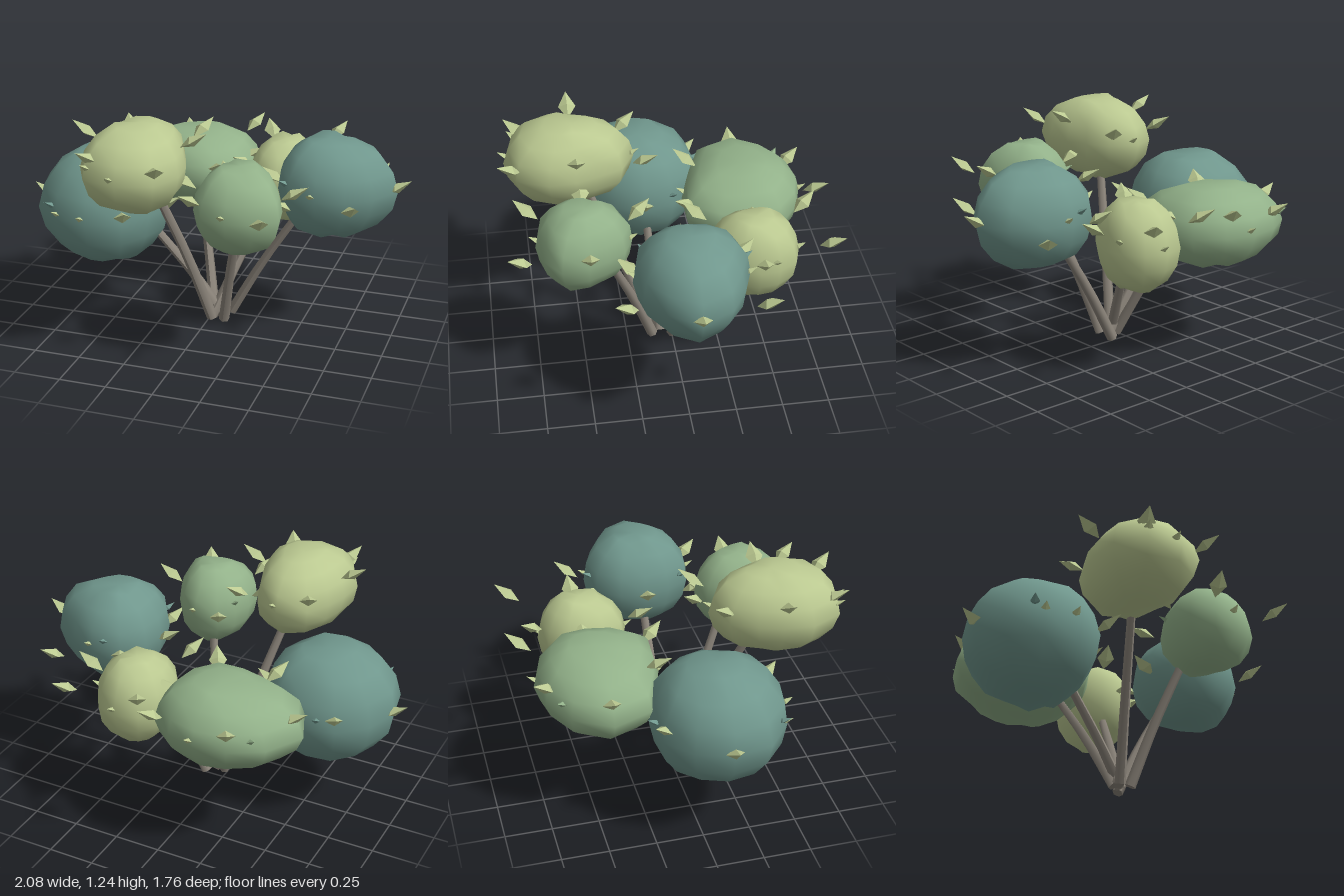
import * as THREE from 'three';
import { mergeVertices } from 'three/addons/utils/BufferGeometryUtils.js';

const UP = new THREE.Vector3(0, 1, 0);

// Foliage clumps: crown centre, height range, plan radius every 30 degrees
// (from +x towards +z), height of the leaf ring, azimuths of the buds
const CLUMPS = [
  { name: 'rightClump', color: 'teal', x: -0.56, z: 0.10, y: [0.32, 0.945],
    radii: [.33, .32, .36, .38, .38, .40, .385, .37, .36, .34, .345, .33], leafY: 0.66, buds: [128, 256, 330] },
  { name: 'leftClump', color: 'teal', x: 0.62, z: -0.02, y: [0.56, 1.09],
    radii: [.375, .32, .30, .295, .30, .27, .255, .28, .30, .30, .29, .33], leafY: 0.82, buds: [130, 258] },
  { name: 'frontRightClump', color: 'lime', x: -0.23, z: 0.49, y: [0.80, 1.25],
    radii: [.24, .29, .36, .37, .37, .31, .255, .25, .295, .33, .29, .23], leafY: 1.14, buds: [119] },
  { name: 'frontLeftClump', color: 'green', x: 0.29, z: 0.475, y: [0.62, 1.07],
    radii: [.22, .28, .26, .26, .27, .24, .215, .21, .235, .24, .22, .20], leafY: 0.94, buds: [210] },
  { name: 'backRightClump', color: 'green', x: -0.215, z: -0.435, y: [0.50, 0.925],
    radii: [.34, .36, .39, .335, .33, .42, .45, .39, .34, .325, .32, .345], leafY: 0.83, buds: [220] },
  { name: 'backLeftClump', color: 'lime', x: 0.29, z: -0.41, y: [0.45, 0.93],
    radii: [.20, .20, .22, .25, .245, .22, .21, .22, .235, .24, .235, .21], leafY: 0.85, buds: [335] },
];

// Stems: foot on the ground (x, z) and tip inside a clump (x, y, z)
const STEMS = [
  { foot: [0.07, 0.06], tip: [-0.30, 0.48, 0.085] },
  { foot: [0.10, 0.00], tip: [0.48, 0.66, -0.01] },
  { foot: [0.02, 0.11], tip: [-0.18, 0.86, 0.43] },
  { foot: [0.09, 0.11], tip: [0.24, 0.68, 0.36] },
  { foot: [0.02, 0.06], tip: [-0.15, 0.60, -0.24] },
  { foot: [0.02, 0.10], tip: [0.23, 0.58, -0.28] },
];

// Distance of the six ring leaves from the crown centre, every 60 degrees
const LEAF_REACH = [0.28, 0.40, 0.34, 0.30, 0.34, 0.42];

const paint = (name, color) => {
  const m = new THREE.MeshStandardMaterial({ color });
  m.name = name;
  return m;
};

// Plan radius of a clump at an azimuth in degrees
function radiusAt(radii, degrees) {
  const t = (degrees + 360) / 30, i = Math.floor(t);
  return THREE.MathUtils.lerp(radii[i % 12], radii[(i + 1) % 12], t - i);
}

// Rounded lump with an irregular plan outline and pinched poles
function clumpGeometry({ radii, y }, seed) {
  let geo = new THREE.SphereGeometry(1, 12, 8);
  geo.deleteAttribute('uv');
  geo.deleteAttribute('normal');
  geo = mergeVertices(geo, 1e-4);
  const p = geo.attributes.position;
  const half = (y[1] - y[0]) / 2;
  let s = seed * 7919 + 17;
  const jitter = (amount) => {
    s = (s * 16807) % 2147483647;
    return 1 + (s / 2147483647 - 0.5) * amount;
  };
  for (let i = 0; i < p.count; i++) {
    const x = p.getX(i), v = p.getY(i), z = p.getZ(i);
    const ring = Math.hypot(x, z);
    if (ring < 1e-3) {
      p.setXYZ(i, 0, Math.sign(v) * half * 0.96, 0);
      continue;
    }
    const degrees = THREE.MathUtils.radToDeg(Math.atan2(z, x));
    const equator = Math.abs(v) < 0.01;
    const reach = radiusAt(radii, degrees) * ring ** 0.92 * (equator ? 1 : jitter(0.05));
    const lift = Math.min(1, Math.abs(v) * 1.03 * jitter(Math.abs(v) > 0.9 ? 0.1 : 0.05));
    p.setXYZ(i, x / ring * reach, Math.sign(v) * lift * half, z / ring * reach);
  }
  geo.computeVertexNormals();
  return geo;
}

// Six-sided tapered stem, steeper near the ground
function stemGeometry({ foot, tip }) {
  const start = new THREE.Vector3(foot[0], 0.02, foot[1]);
  const end = new THREE.Vector3(...tip);
  const bend = start.clone().lerp(end, 0.46).setY((start.y + end.y) / 2);
  const curve = new THREE.CatmullRomCurve3([start, bend, end]);
  const geo = new THREE.CylinderGeometry(0.022, 0.03, 1, 6, 5);
  const p = geo.attributes.position;
  const turn = new THREE.Quaternion(), v = new THREE.Vector3();
  for (let i = 0; i < p.count; i++) {
    const t = THREE.MathUtils.clamp(p.getY(i) + 0.5, 0, 1);
    turn.setFromUnitVectors(UP, curve.getTangent(t));
    v.set(p.getX(i), 0, p.getZ(i)).applyQuaternion(turn).add(curve.getPoint(t));
    p.setXYZ(i, v.x, v.y, v.z);
  }
  geo.computeVertexNormals();
  return geo;
}

// Flat faceted leaf along +y, broad in x and widest just below the middle
function leafGeometry() {
  const geo = new THREE.OctahedronGeometry(0.5);
  const p = geo.attributes.position;
  for (let i = 0; i < p.count; i++) {
    const y = p.getY(i);
    p.setXYZ(i, p.getX(i) * 0.58, Math.abs(y) < 0.01 ? -0.06 : y, p.getZ(i) * 0.34);
  }
  geo.computeVertexNormals();
  return geo;
}

export function createModel() {
  const mats = {
    teal: paint('teal foliage', 0x70978d),
    green: paint('green foliage', 0x93b28a),
    lime: paint('lime foliage', 0xbbc991),
    bark: paint('bark', 0x8a8379),
  };
  const model = new THREE.Group();
  model.name = 'shrub';
  const add = (geo, mat, name) => {
    const mesh = new THREE.Mesh(geo, mat);
    mesh.name = name;
    model.add(mesh);
    return mesh;
  };

  STEMS.forEach((stem, i) => add(stemGeometry(stem), mats.bark, `stem${i + 1}`));

  const leaf = leafGeometry();
  CLUMPS.forEach((clump, i) => {
    const { x, z, y, radii, leafY, color, buds } = clump;
    const middle = (y[0] + y[1]) / 2, half = (y[1] - y[0]) / 2;
    add(clumpGeometry(clump, i + 1), mats[color], clump.name).position.set(x, middle, z);

    // Distance from the crown axis to the foliage surface
    const surface = (degrees, height) =>
      radiusAt(radii, degrees) * Math.sqrt(1 - ((height - middle) / half) ** 2);

    // Leaves and buds lean outwards and upwards, broad side facing up
    const addLeaf = (degrees, reach, height, size, mat, name) => {
      const a = THREE.MathUtils.degToRad(degrees);
      const mesh = add(leaf, mat, name);
      mesh.position.set(x + Math.cos(a) * reach, height, z + Math.sin(a) * reach);
      const side = new THREE.Vector3(-Math.sin(a), 0, Math.cos(a));
      const out = new THREE.Vector3(Math.cos(a), 0.6, Math.sin(a)).normalize();
      const face = side.clone().cross(out);
      mesh.quaternion.setFromRotationMatrix(new THREE.Matrix4().makeBasis(side, out, face));
      mesh.scale.setScalar(size);
    };
    LEAF_REACH.forEach((reach, k) => {
      const height = leafY + 0.035 * Math.sin(k * 2 + i);
      const d = k * 60;
      addLeaf(d, k % 3 ? reach : Math.max(reach, surface(d, height)), height, 0.165, mats.lime, 'leaf');
    });
    for (const d of buds) addLeaf(d, surface(d, middle + 0.06), middle + 0.06, 0.085, mats[color], 'bud');
    for (const d of [95, 275]) addLeaf(d, surface(d, middle + 0.03), middle + 0.03, 0.08, mats.lime, 'paleBud');
  });
  return model;
}
